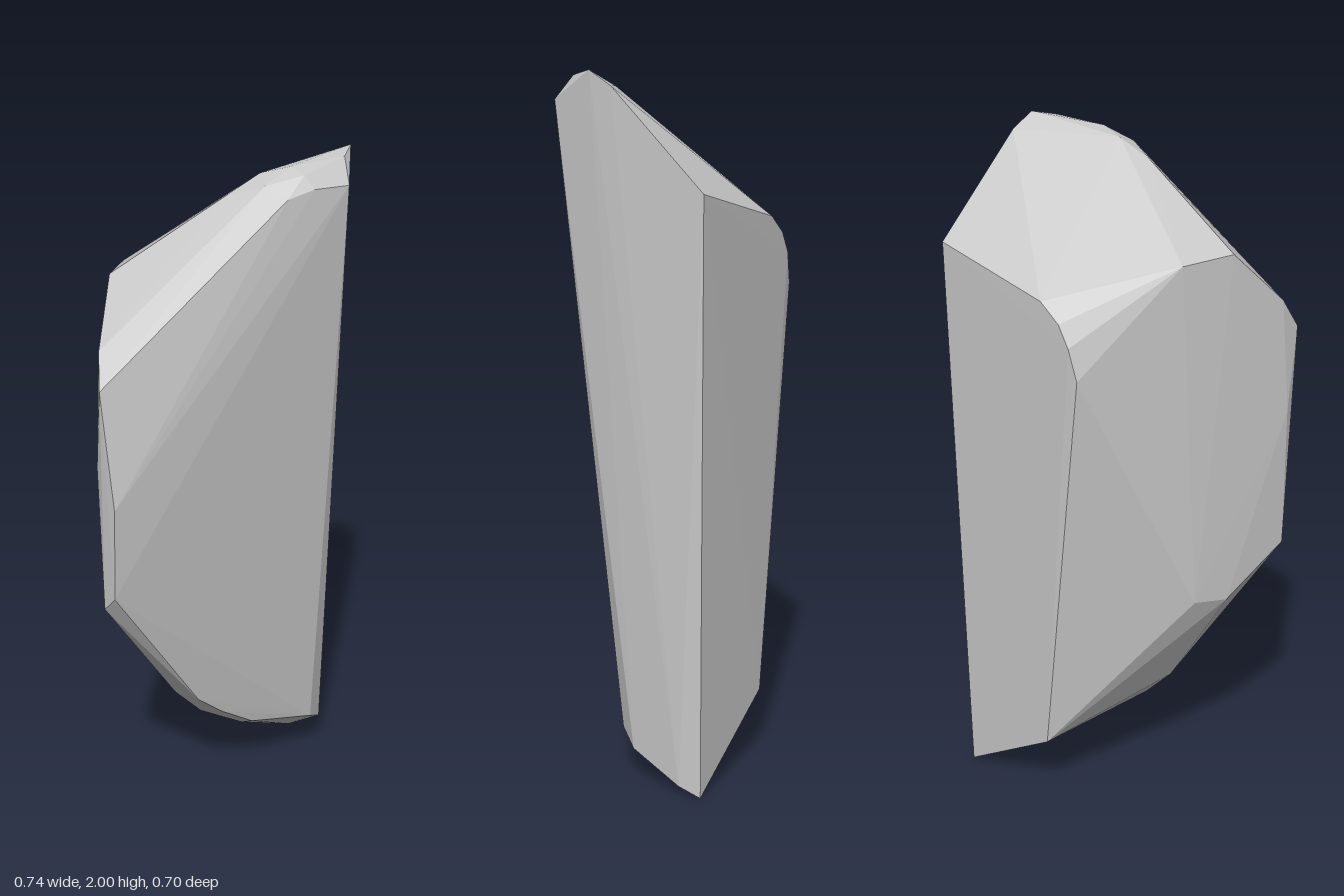
import * as THREE from 'three';
import { ConvexGeometry } from 'three/addons/geometries/ConvexGeometry.js';

const stone = new THREE.MeshStandardMaterial({ color: 0xc7c7c7 });
stone.name = 'stone grey';

// Corners of the chipped boulder, grouped by the face or rim they bound
const corners = {
  crown: [
    [0.363, 2, 0], [0.367, 1.96, -0.07], [0.332, 1.985, 0.07], [0.18, 1.97, 0.105],
    [0.21, 1.955, 0.145], [0.1, 1.95, 0.085], [0.105, 1.93, 0.148], [0.01, 1.9, 0.107],
    [-0.31, 1.69, 0.095], [-0.26, 1.68, -0.06],
  ],
  back: [
    [0.367, 1.69, -0.353], [-0.015, 1.6, -0.353], [-0.08, 1.55, -0.353], [-0.115, 1.49, -0.353],
    [-0.14, 1.4, -0.347], [0.005, 0.21, -0.345], [0.345, 0, -0.34],
  ],
  front: [
    [0.335, 1.92, 0.13], [0.235, 1.92, 0.163], [0.16, 1.9, 0.185], [-0.36, 1.44, 0.33],
    [-0.33, 1.1, 0.352], [-0.335, 0.82, 0.335],
  ],
  side: [
    [-0.355, 1.53, 0.265], [-0.37, 1.2, 0.285], [-0.362, 0.77, 0.295],
    [-0.32, 0.64, 0.09], [-0.29, 0.66, -0.02],
  ],
  underside: [
    [-0.08, 0.36, 0.15], [-0.14, 0.33, 0.05], [0, 0.28, 0.1], [-0.06, 0.245, 0.03],
    [0.1, 0.2, 0.04], [0.08, 0.14, -0.05], [0.305, 0.14, -0.06], [0.345, 0.1, -0.12],
    [0.25, 0.055, -0.15], [0.364, 0.03, -0.28],
  ],
};

export function createModel() {
  const group = new THREE.Group();
  group.name = 'rock';

  // Faceted solid wrapped around all the corners
  const points = Object.values(corners).flat().map((p) => new THREE.Vector3(...p));
  const boulder = new THREE.Mesh(new ConvexGeometry(points), stone);
  boulder.name = 'boulder';
  group.add(boulder);

  return group;
}
